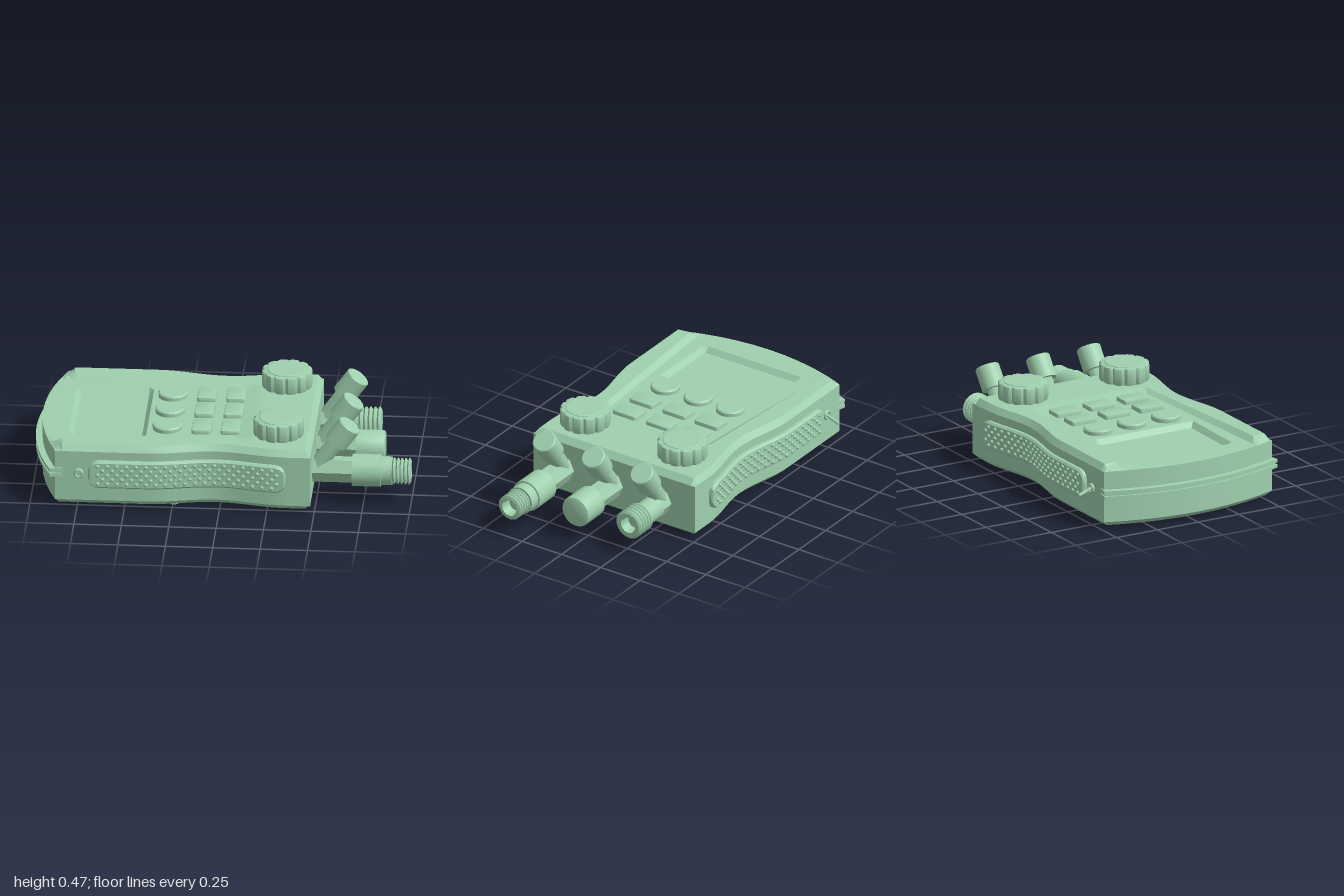
import * as THREE from 'three';
import { mergeGeometries, toCreasedNormals } from 'three/addons/utils/BufferGeometryUtils.js';

const Z0 = 0.02; // centre line of the case
const material = new THREE.MeshStandardMaterial({ color: 0x9fd0ae });

function add(parent, name, geometry, x = 0, y = 0, z = 0) {
  const mesh = new THREE.Mesh(geometry, material);
  mesh.name = name;
  mesh.position.set(x, y, z);
  parent.add(mesh);
  return mesh;
}

// Skin over equal rings of [x, y, z]; each end is closed by a strip across the ring
function loft(rings) {
  const n = rings[0].length, index = [];
  const quad = (a, b, c, d) => index.push(a, b, c, a, c, d);
  for (let k = 0; k < rings.length - 1; k++) {
    for (let i = 0; i < n; i++) {
      const j = (i + 1) % n;
      quad(k * n + i, k * n + j, (k + 1) * n + j, (k + 1) * n + i);
    }
  }
  const last = (rings.length - 1) * n;
  for (let i = 0; i < n / 2 - 1; i++) {
    quad(i, n - 1 - i, n - 2 - i, i + 1);
    quad(last + i, last + i + 1, last + n - 2 - i, last + n - 1 - i);
  }
  const g = new THREE.BufferGeometry();
  g.setAttribute('position', new THREE.Float32BufferAttribute(rings.flat(2), 3));
  g.setIndex(index);
  return toCreasedNormals(g, 0.4);
}

const lathe = (points, segments = 32) => toCreasedNormals(
  new THREE.LatheGeometry(points.map(p => new THREE.Vector2(...p)), segments), 0.5);

// Half width of the waisted case, and its curved left end
function halfWidth(x) {
  const t = Math.min(1, Math.abs(x + 0.02) / 0.37);
  return 0.515 - 0.026 * (1 + Math.cos(Math.PI * t));
}
const endArc = s => -0.965 + 0.1 * (s / 0.515) ** 2;

// Depth of the sunken control panel
function panelDepth(x) {
  if (x > 0.1) return 0.016 * Math.max(0, 1 - (x - 0.1) / 0.05);
  return THREE.MathUtils.mapLinear(x, -0.97, 0.1, 0.03, 0.016);
}

// One cross-section of the case: a top line and a bottom line with shared columns
function caseRing(x, lo = 0.02, hi = 0.355, arcOffset = null) {
  const h = halfWidth(x), floor = 0.355 - panelDepth(x);
  const inner = THREE.MathUtils.clamp(THREE.MathUtils.mapLinear(x, -0.9, 0.1, 0.395, 0.325), 0.315, 0.4);
  const screen = x > -0.79 && x < -0.42 ? floor - 0.028 : floor;
  const half = [[0, screen], [0.1, screen], [0.2, screen], [0.285, screen], [0.31, floor],
    [inner, floor], [inner + 0.03, 0.355], [h - 0.025, 0.355], [h, 0.322]];
  const columns = [...half.slice(1).reverse().map(([s, y]) => [-s, y]), ...half];
  const px = s => arcOffset === null ? x : endArc(s) + arcOffset;
  const top = columns.map(([s, y]) => [px(s), Math.min(y, hi), Z0 + s]);
  const bottom = columns.map(([s]) =>
    [px(s), Math.max(lo, Math.abs(s) > h - 0.01 ? 0.045 : 0.02), Z0 + s]).reverse();
  return [...top, ...bottom];
}

function caseGeometry() {
  const rings = [caseRing(-0.9, 0.045, 0.325, 0), caseRing(-0.88, 0.02, 0.338, 0.028)];
  for (const x of [-0.83, -0.81, -0.785, -0.6, -0.425, -0.4]) rings.push(caseRing(x));
  for (let x = -0.35; x < 0.46; x += 0.05) rings.push(caseRing(x));
  rings.push(caseRing(0.48, 0.045, 0.322));
  return loft(rings);
}

// Raised side pad that follows the waist
function gripGeometry(side) {
  const x0 = -0.69, x1 = 0.35, ends = [0, 0.008, 0.02, 0.035, 0.055];
  const stations = [...ends.map(d => x0 + d), ...ends.map(d => x1 - d).reverse()];
  for (let x = -0.6; x < 0.28; x += 0.04) stations.push(x);
  stations.sort((a, b) => a - b);
  return loft(stations.map(x => {
    const d = Math.min(x - x0, x1 - x, 0.055);
    const hh = 0.022 + Math.sqrt(Math.max(0, 0.055 ** 2 - (0.055 - d) ** 2));
    const out = d < 0.005 ? 0.016 : 0.026;
    const ring = [[hh, -0.02], [hh, out - 0.01], [hh - 0.01, out],
      [-hh + 0.01, out], [-hh, out - 0.01], [-hh, -0.02]]
      .map(([y, o]) => [x, 0.2 + y, Z0 + side * (halfWidth(x) + o)]);
    return side > 0 ? ring : ring.reverse();
  }));
}

function dotsGeometry(side) {
  const dots = [];
  for (let row = 0; row < 5; row++) {
    for (let i = 0; i < 19; i++) {
      const x = -0.64 + i * 0.051 + (row % 2) * 0.0255;
      dots.push(new THREE.SphereGeometry(0.011, 8, 6)
        .translate(x, 0.15 + row * 0.025, Z0 + side * (halfWidth(x) + 0.026)));
    }
  }
  return mergeGeometries(dots);
}

// Flat plate from an x/z outline, its underside at y = 0
function plate(points, height, bevel = 0) {
  const shape = new THREE.Shape(points.map(p => new THREE.Vector2(p[0], -p[1])));
  const g = new THREE.ExtrudeGeometry(shape, { depth: height - bevel, bevelEnabled: bevel > 0,
    bevelSize: bevel, bevelOffset: -bevel, bevelThickness: bevel, bevelSegments: 2 });
  return toCreasedNormals(g.rotateX(-Math.PI / 2), 0.5);
}

function roundedRect(w, d, r) {
  const points = [];
  [[1, 1], [-1, 1], [-1, -1], [1, -1]].forEach(([sx, sz], q) => {
    for (let k = 0; k <= 4; k++) {
      const a = (q + k / 4) * Math.PI / 2;
      points.push([sx * (w - r) + r * Math.cos(a), sz * (d - r) + r * Math.sin(a)]);
    }
  });
  return points;
}

// Hollow threaded end from height a to b
function threadProfile(a, b, r) {
  const points = [[r - 0.014, a]], turns = 5, pitch = (b - a) / turns;
  for (let i = 0; i < turns; i++) {
    const y = a + i * pitch;
    points.push([r, y + pitch * 0.35], [r, y + pitch * 0.65], [r - 0.014, y + pitch]);
  }
  return [...points, [0.045, b], [0.04, b - 0.06], [0, b - 0.06]];
}

export function createModel() {
  const model = new THREE.Group();
  model.name = 'pressureMeter';
  add(model, 'case', caseGeometry());

  // Double ridge around the curved end
  const ridge = inset => {
    const points = [[-0.8, 0.51]];
    for (let i = -12; i <= 12; i++) {
      const s = -i / 12 * (0.53 - inset);
      points.push([endArc(s) - 0.035 + inset, s]);
    }
    return [...points, [-0.8, -0.51]];
  };
  add(model, 'endRidgeLower', plate(ridge(0), 0.019), 0, 0.178, Z0);
  add(model, 'endRidgeGroove', plate(ridge(0.012), 0.012), 0, 0.196, Z0);
  add(model, 'endRidgeUpper', plate(ridge(0), 0.019), 0, 0.207, Z0);

  // Side pads, studs and strap posts
  for (const side of [1, -1]) {
    add(model, 'sideGrip', gripGeometry(side));
    add(model, 'gripStuds', dotsGeometry(side));
    const post = add(model, 'sidePost', lathe([[0.027, 0], [0.027, 0.02], [0.02, 0.025],
      [0.016, 0.014], [0, 0.014]], 20), -0.74, 0.2, Z0 + side * 0.505);
    post.rotation.x = side * Math.PI / 2;
  }
  const lever = add(model, 'toggleLever', new THREE.CylinderGeometry(0.009, 0.007, 0.085, 12), -0.74, 0.186, -0.536);
  lever.rotation.x = -Math.PI / 2 - 0.35;

  // Keys
  for (const z of [-0.19, 0.015, 0.225]) {
    add(model, 'roundButton', lathe([[0.077, 0], [0.077, 0.031], [0.07, 0.038], [0, 0.038]], 40), -0.295, 0.322, z);
    for (const x of [-0.112, 0.042]) {
      add(model, 'squareButton', plate(roundedRect(0.051, 0.075, 0.014), 0.038, 0.006), x, 0.322, z);
    }
  }

  // Notched knobs
  const knob = [];
  for (let i = 0; i < 120; i++) {
    const a = i / 120 * Math.PI * 2;
    const r = 0.133 - 0.012 * Math.max(0, Math.cos(12 * a)) ** 3;
    knob.push([r * Math.cos(a), r * Math.sin(a)]);
  }
  for (const z of [-0.292, 0.328]) {
    add(model, 'knob', plate(knob, 0.085, 0.01), 0.3, 0.377, z);
    add(model, 'knobCap', lathe([[0.105, 0], [0.105, 0.003], [0.1, 0.006], [0, 0.006]], 40), 0.3, 0.461, z);
    add(model, 'knobStem', new THREE.CylinderGeometry(0.028, 0.028, 0.04, 20), 0.3, 0.36, z);
  }

  // Hose fittings; profile heights are distances from the case end
  const fittings = [
    { z: 0.333, neck: 0.22, profile: [[0, 0.21], [0.086, 0.21], [0.086, 0.36], [0.076, 0.362],
      [0.076, 0.42], ...threadProfile(0.42, 0.52, 0.07)] },
    { z: 0.022, neck: 0.22, profile: [[0, 0.21], [0.086, 0.21], [0.086, 0.35], [0.082, 0.358], [0.074, 0.362], [0, 0.362]] },
    { z: -0.288, neck: 0.1, profile: [[0, 0.08], [0.064, 0.08], [0.064, 0.2], ...threadProfile(0.2, 0.32, 0.08)] },
  ];
  for (const { z, neck, profile } of fittings) {
    const fitting = new THREE.Group();
    fitting.name = 'hoseFitting';
    fitting.position.set(0.48, 0.174, z);
    model.add(fitting);
    const hex = toCreasedNormals(new THREE.CylinderGeometry(0.072, 0.072, neck + 0.02, 6), 0.5);
    hex.rotateZ(-Math.PI / 2).scale(1, 1, 0.8);
    if (neck < 0.2) hex.scale(1, 0.95, 1);
    add(fitting, 'hexNeck', hex, neck / 2);
    add(fitting, 'connector', lathe(profile).rotateZ(-Math.PI / 2));
    // Slanted service port
    const port = new THREE.Group();
    port.name = 'slantedPort';
    port.position.set(0.03, 0.03, 0);
    port.rotation.z = -0.63;
    fitting.add(port);
    add(port, 'portTube', new THREE.CylinderGeometry(0.046, 0.046, 0.18, 6), 0, 0.09);
    add(port, 'portCap', lathe([[0, 0.155], [0.065, 0.155], [0.065, 0.278], [0.059, 0.284], [0, 0.284]]));
  }

  // Underside: feet and battery door
  for (const x of [-0.76, -0.245, 0.325]) {
    for (const side of [1, -1]) {
      add(model, 'foot', lathe([[0, 0.014], [0.014, 0.014], [0.014, 0], [0.026, 0], [0.026, 0.03]], 20), x, 0, Z0 + side * 0.415);
    }
  }
  add(model, 'batteryDoor', plate([[-0.815, -0.22], [-0.815, 0.28], [-0.15, 0.28], [-0.15, 0.085], [-0.04, 0.085],
    [-0.04, -0.045], [-0.15, -0.045], [-0.15, -0.22]], 0.006), 0, 0.016, 0);
  return model;
}
